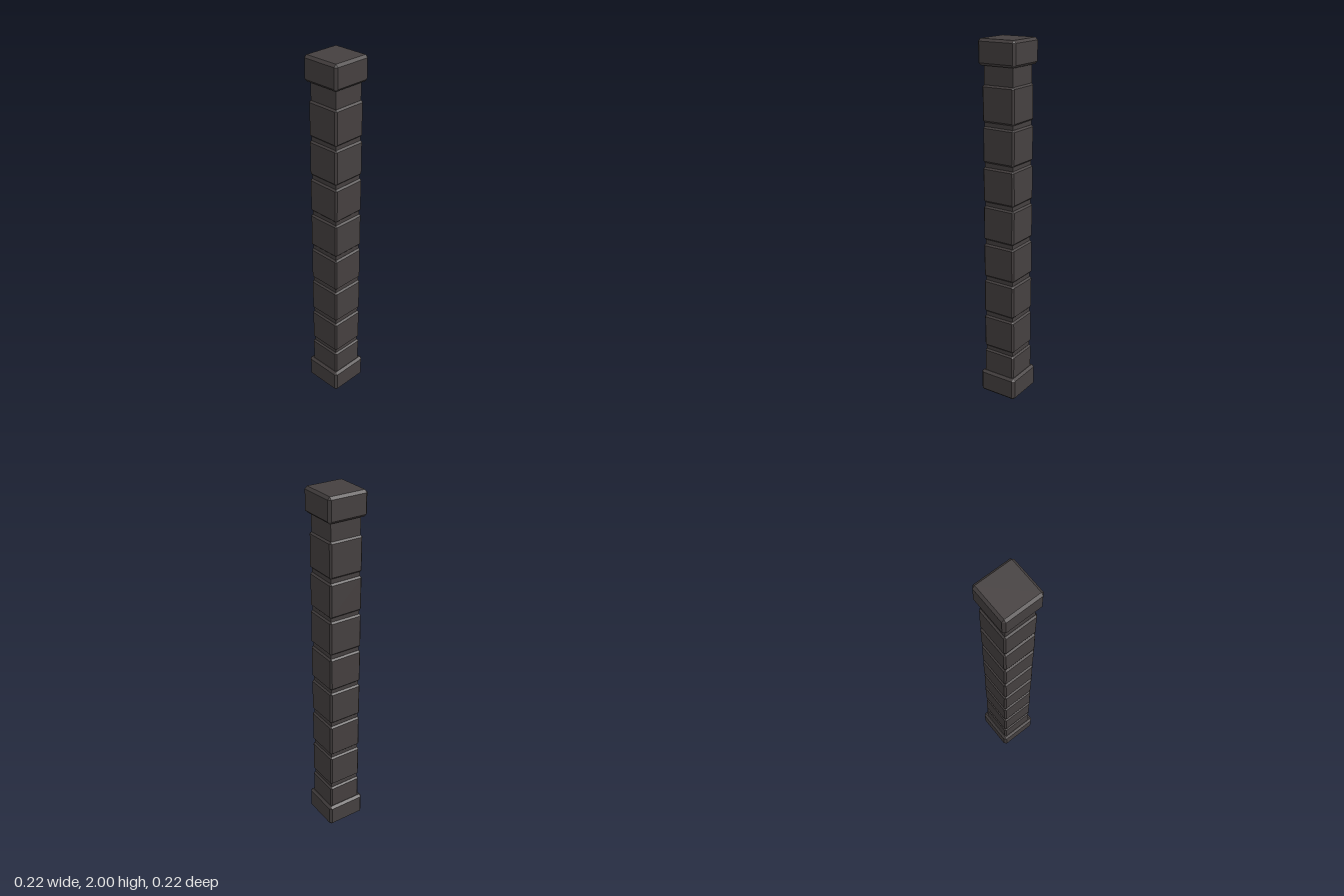
import * as THREE from 'three';
import { ConvexGeometry } from 'three/addons/geometries/ConvexGeometry.js';

// Box with a flat 45 degree bevel on every edge
function beveledBox(width, height, depth, bevel) {
  const half = [width / 2, height / 2, depth / 2];
  const points = [];
  for (const sx of [-1, 1]) for (const sy of [-1, 1]) for (const sz of [-1, 1]) {
    const signs = [sx, sy, sz];
    for (let axis = 0; axis < 3; axis++) {
      // One corner point per face: full extent on its axis, inset on the others
      const p = half.map((h, i) => signs[i] * (i === axis ? h : h - bevel));
      points.push(new THREE.Vector3(...p));
    }
  }
  return new ConvexGeometry(points);
}

export function createModel() {
  const model = new THREE.Group();
  model.name = 'stonePillar';
  const stone = new THREE.MeshStandardMaterial({ color: 0x454040, flatShading: true });
  stone.name = 'darkStone';

  const add = (name, geometry, y) => {
    const mesh = new THREE.Mesh(geometry, stone);
    mesh.name = name;
    mesh.position.y = y;
    model.add(mesh);
    return mesh;
  };

  // Square core showing in the joints and below the cap
  add('core', new THREE.BoxGeometry(0.174, 1.86, 0.174), 1.0);

  // Wider end stones
  const endStone = beveledBox(0.225, 0.132, 0.225, 0.013);
  add('base', endStone, 0.066);
  add('cap', endStone, 1.934);

  // Stacked blocks, each set very slightly askew
  const block = beveledBox(0.193, 0.192, 0.193, 0.009);
  for (let i = 0; i < 8; i++) {
    const mesh = add('block' + (i + 1), block, 0.17 + i * 0.215);
    const tilt = 0.006 * (i % 2 ? 1 : -1);
    mesh.rotation.set(tilt, 0, -tilt);
  }
  return model;
}
